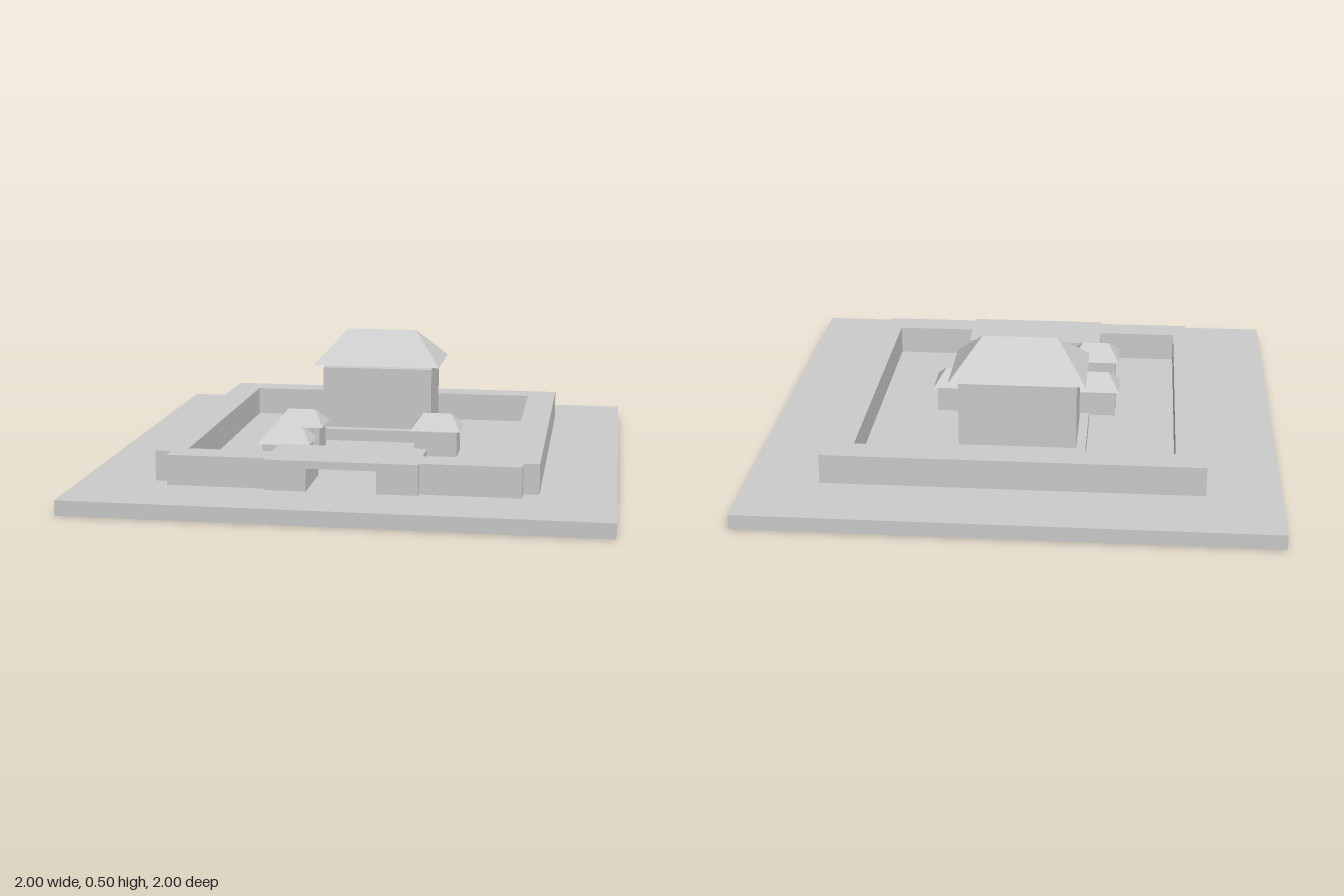
import * as THREE from 'three';

const stone = new THREE.MeshStandardMaterial({ color: 0xcccccc });
stone.name = 'pale grey';

function add(parent, name, geometry) {
  const mesh = new THREE.Mesh(geometry, stone);
  mesh.name = name;
  parent.add(mesh);
  return mesh;
}

// Box given by its width, depth, bottom and top, centred on x and z
function block(w, d, y0, y1, x = 0, z = 0) {
  return new THREE.BoxGeometry(w, y1 - y0, d).translate(x, (y0 + y1) / 2, z);
}

// Hipped roof: rectangular eaves rising to a ridge along x
function hipRoof(w, d, ridge, y0, y1) {
  const geometry = new THREE.BoxGeometry(w, y1 - y0, d).toNonIndexed();
  const p = geometry.attributes.position;
  for (let i = 0; i < p.count; i++) {
    if (p.getY(i) > 0) {
      p.setX(i, Math.sign(p.getX(i)) * ridge / 2);
      p.setZ(i, 0);
    }
  }
  geometry.computeVertexNormals();
  return geometry.translate(0, (y0 + y1) / 2, 0);
}

function polygon(points) {
  return new THREE.Shape(points.map(([x, y]) => new THREE.Vector2(x, y)));
}

export function createModel() {
  const model = new THREE.Group();
  model.name = 'walledCompound';
  const ground = 0.057, wallTop = 0.172;

  add(model, 'groundSlab', block(2, 2, 0, ground));

  // Enclosing wall, open at the front for the gatehouse; points are [x, z] on the left half
  const half = [
    [0.285, 0.72], [0.66, 0.72], [0.66, 0.66], [0.72, 0.66], [0.72, -0.72],
  ];
  const inner = [[0.605, -0.61], [0.605, 0.605], [0.285, 0.605]];
  const mirror = (list) => list.map(([x, z]) => [-x, z]).reverse();
  const outline = [...half, ...mirror(half), ...mirror(inner), ...inner];
  const wall = new THREE.ExtrudeGeometry(polygon(outline.map(([x, z]) => [x, -z])), {
    depth: wallTop - ground, bevelEnabled: false,
  });
  add(model, 'enclosingWall', wall.rotateX(-Math.PI / 2).translate(0, ground, 0));

  // Gatehouse with a square passage through it
  const gate = polygon([
    [-0.285, ground], [-0.13, ground], [-0.13, 0.143], [0.13, 0.143],
    [0.13, ground], [0.285, ground], [0.285, wallTop], [-0.285, wallTop],
  ]);
  add(model, 'gatehouse',
    new THREE.ExtrudeGeometry(gate, { depth: 0.26, bevelEnabled: false }).translate(0, 0, 0.48));

  // Main hall on its plinth, with the roof raised just above the walls
  const hall = new THREE.Group();
  hall.name = 'mainHall';
  hall.position.z = -0.302;
  add(hall, 'hallPlinth', block(0.526, 0.374, ground, 0.105));
  add(hall, 'hallWalls', block(0.454, 0.286, 0.105, 0.358));
  add(hall, 'hallRoof', hipRoof(0.524, 0.348, 0.29, 0.372, 0.502));
  model.add(hall);

  // Three small pavilions in the courtyard
  const pavilions = [[-0.28, 0.046], [0.276, 0.046], [-0.272, 0.366]];
  pavilions.forEach(([x, z], i) => {
    const pavilion = new THREE.Group();
    pavilion.name = 'pavilion' + (i + 1);
    pavilion.position.set(x, 0, z);
    add(pavilion, 'pavilionWalls', block(0.172, 0.136, ground, 0.156));
    add(pavilion, 'pavilionRoof', hipRoof(0.202, 0.164, 0.112, 0.162, 0.22));
    model.add(pavilion);
  });

  return model;
}
